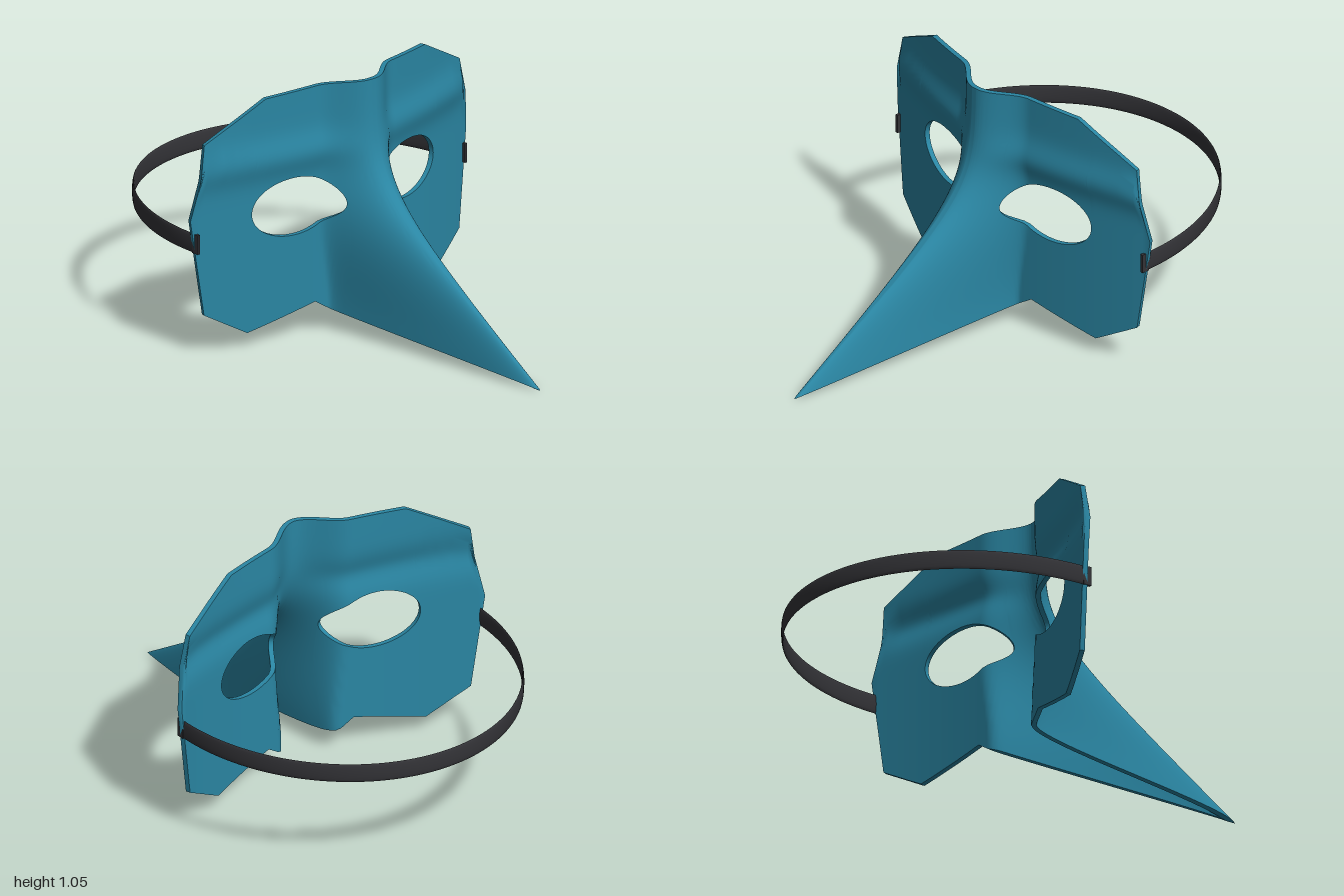
import * as THREE from 'three';
import { toCreasedNormals } from 'three/addons/utils/BufferGeometryUtils.js';

const THICK = 0.02;
const EYE = { x: 0.3075, y: 0.565, rx: 0.1825, ry: 0.12 };

// Half outlines of the mask as [x, y], mirrored across x = 0
const TOP = [[0, 1.055], [0.43, 1.038], [0.69, 0.89], [0.745, 0.58]];
const BOTTOM = [[0, 0.008], [0.21, 0.147], [0.51, 0.075], [0.69, 0.18], [0.745, 0.58]];

function along(points, x) {
  x = Math.abs(x);
  for (let i = 1; i < points.length; i++) {
    const [x0, y0] = points[i - 1], [x1, y1] = points[i];
    if (x <= x1) return y0 + (y1 - y0) * (x - x0) / (x1 - x0);
  }
  return points[points.length - 1][1];
}

// Depth of the face: curved base with a brow, blended into the beak ridge
function depth(x, y) {
  const a = Math.abs(x);
  const brow = 0.022 * Math.exp(-(((y - 0.78) / 0.07) ** 2));
  const base = -0.015 - 0.12 * a - 0.16 * a * a + brow;
  const ridge = 0.065 + 1.52 * 0.09 * Math.log(1 + Math.exp((0.623 - y) / 0.09));
  const width = 0.15 + 0.05 * THREE.MathUtils.smoothstep(y, 0.1, 0.6);
  const f = a < width ? 0.5 + 0.5 * Math.cos(Math.PI * a / width) : 0;
  return base + (ridge - base) * f;
}

function front(x, y) {
  return [x, y, depth(x, y)];
}

// Inner surface: the front moved inwards along its normal
function back(x, y) {
  const e = 0.0005;
  const zx = (depth(x + e, y) - depth(x - e, y)) / (2 * e);
  const zy = (depth(x, y + e) - depth(x, y - e)) / (2 * e);
  const s = THICK / Math.hypot(zx, zy, 1);
  let bx = x + zx * s;
  if (bx * x <= 0) bx = 0;
  const by = Math.max(y + zy * s, along(BOTTOM, bx));
  return [bx, by, depth(x, y) - s];
}

// Adds a grid of triangles over the parameters us and vs
function addGrid(out, us, vs, fn, flip = false) {
  for (let i = 0; i < us.length - 1; i++) {
    for (let j = 0; j < vs.length - 1; j++) {
      const a = fn(us[i], vs[j]), b = fn(us[i + 1], vs[j]);
      const c = fn(us[i + 1], vs[j + 1]), d = fn(us[i], vs[j + 1]);
      if (flip) out.push(...a, ...c, ...b, ...a, ...d, ...c);
      else out.push(...a, ...b, ...c, ...a, ...c, ...d);
    }
  }
}

function toGeometry(positions, crease) {
  const g = new THREE.BufferGeometry();
  g.setAttribute('position', new THREE.Float32BufferAttribute(positions, 3));
  return toCreasedNormals(g, crease);
}

const steps = (n) => Array.from({ length: n + 1 }, (_, i) => i / n);

// Columns: dense at the ridge, rounded spacing over the eyes, outline corners included
function columns() {
  const inner = EYE.x - EYE.rx, outer = EYE.x + EYE.rx;
  const half = [0.21, 0.43, 0.51, 0.56, 0.62, 0.69, 0.715, 0.745];
  steps(22).forEach((t) => { if (t > 0 && t < 1) half.push(inner * t ** 1.5); });
  steps(32).forEach((t) => half.push(EYE.x - EYE.rx * Math.cos(Math.PI * t)));
  half.sort((a, b) => a - b);
  return { xs: [...half.map((x) => -x).reverse(), 0, ...half], inner, outer };
}

function maskGeometry() {
  const { xs, inner, outer } = columns();
  const eyeEdge = (x, sign) => {
    const k = (Math.abs(x) - EYE.x) / EYE.rx;
    const y = EYE.y + sign * EYE.ry * Math.sqrt(Math.max(0, 1 - k * k));
    return THREE.MathUtils.clamp(y, along(BOTTOM, x), along(TOP, x));
  };
  const low = (x) => along(BOTTOM, x), high = (x) => along(TOP, x);
  const lowerLid = (x) => eyeEdge(x, -1), upperLid = (x) => eyeEdge(x, 1);
  const out = [];

  // Front and back skins, below and above the eye line
  for (const [from, to] of [[low, lowerLid], [upperLid, high]]) {
    const row = (x, v) => from(x) + (to(x) - from(x)) * v;
    addGrid(out, xs, steps(24), (x, v) => front(x, row(x, v)));
    addGrid(out, xs, steps(24), (x, v) => back(x, row(x, v)), true);
  }

  // Walls closing the outer rim and the eye holes
  const wall = (us, edge, flip) =>
    addGrid(out, us, [0, 1], (x, v) => (v ? front : back)(x, edge(x)), flip);
  wall(xs, low, false);
  wall(xs, high, true);
  for (const side of [-1, 1]) {
    const eye = xs.filter((x) => x * side > inner - 1e-6 && x * side < outer + 1e-6);
    wall(eye, lowerLid, true);
    wall(eye, upperLid, false);
  }
  return toGeometry(out, 0.9);
}

// Flat band with a lens section, swept along half an ellipse behind the head
function strapGeometry() {
  const out = [];
  addGrid(out, steps(64), steps(16), (u, v) => {
    const a = Math.PI * u, s = 2 * Math.PI * v;
    const r = 0.005 * Math.cos(s);
    return [(0.722 + r) * Math.cos(a), 0.485 + 0.04 * Math.sin(s), -0.19 - (0.805 + r) * Math.sin(a)];
  });
  return toGeometry(out, 1.2);
}

export function createModel() {
  const group = new THREE.Group();
  const teal = new THREE.MeshStandardMaterial({ color: 0x2a86a3, side: THREE.DoubleSide });
  const dark = new THREE.MeshStandardMaterial({ color: 0x333337, side: THREE.DoubleSide });
  const add = (name, geometry, material) => {
    const mesh = new THREE.Mesh(geometry, material);
    mesh.name = name;
    group.add(mesh);
    return mesh;
  };

  add('beakedMask', maskGeometry(), teal);
  add('headStrap', strapGeometry(), dark);

  // Strap ends passing through the sides of the mask
  for (const side of [-1, 1]) {
    const end = add(side > 0 ? 'leftStrapEnd' : 'rightStrapEnd', new THREE.BoxGeometry(0.012, 0.08, 0.034), dark);
    end.position.set(side * 0.722, 0.485, -0.186);
  }
  return group;
}
